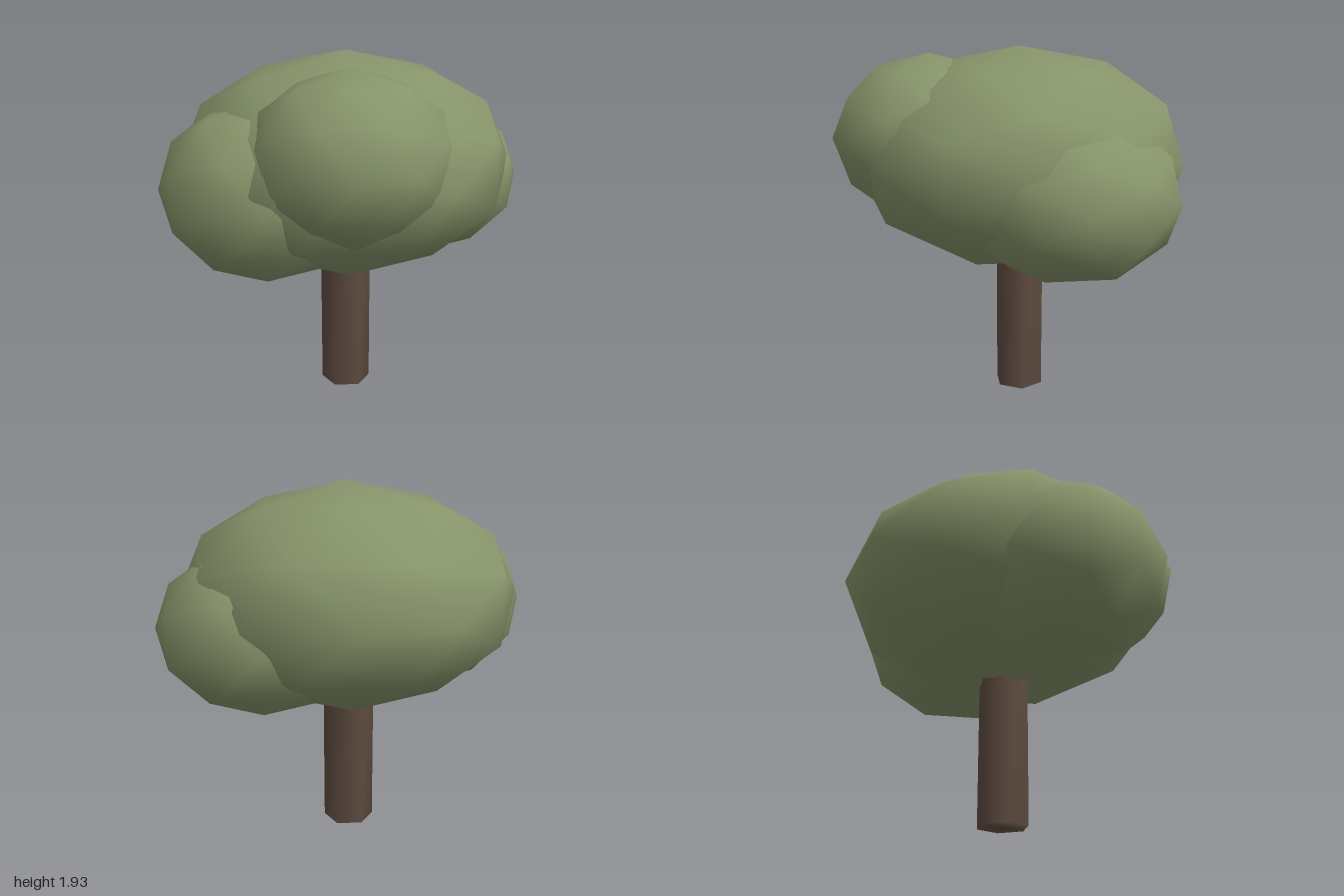
import * as THREE from 'three';
import { mergeVertices } from 'three/addons/utils/BufferGeometryUtils.js';

export function createModel() {
  const tree = new THREE.Group();
  tree.name = 'tree';
  const leaf = new THREE.MeshStandardMaterial({ color: 0x87946a });
  const bark = new THREE.MeshStandardMaterial({ color: 0x5e4c40 });

  // Hexagonal trunk, shaded smoothly, running up into the crown
  let trunkGeo = new THREE.CylinderGeometry(0.14, 0.14, 1.1, 6);
  trunkGeo.deleteAttribute('normal');
  trunkGeo.deleteAttribute('uv');
  trunkGeo = mergeVertices(trunkGeo);
  trunkGeo.computeVertexNormals();
  trunkGeo.rotateY(Math.PI / 6);
  const trunk = new THREE.Mesh(trunkGeo, bark);
  trunk.name = 'trunk';
  trunk.position.set(-0.01, 0.55, -0.05);
  tree.add(trunk);

  // Foliage: overlapping low-poly ellipsoids (name, centre, radii)
  const clumps = [
    ['mainFoliage', [-0.01, 1.345, -0.05], [0.91, 0.59, 0.905]],
    ['frontFoliage', [-0.01, 1.457, 0.436], [0.525, 0.442, 0.52]],
    ['rightFoliage', [-0.433, 1.25, 0.193], [0.567, 0.48, 0.56]],
    ['leftFoliage', [0.433, 1.208, -0.25], [0.567, 0.44, 0.565]],
  ];
  for (const [name, centre, radii] of clumps) {
    const geo = new THREE.IcosahedronGeometry(1, 1);
    geo.rotateY(Math.PI / 2);
    geo.scale(...radii);
    const clump = new THREE.Mesh(geo, leaf);
    clump.name = name;
    clump.position.set(...centre);
    tree.add(clump);
  }
  return tree;
}
